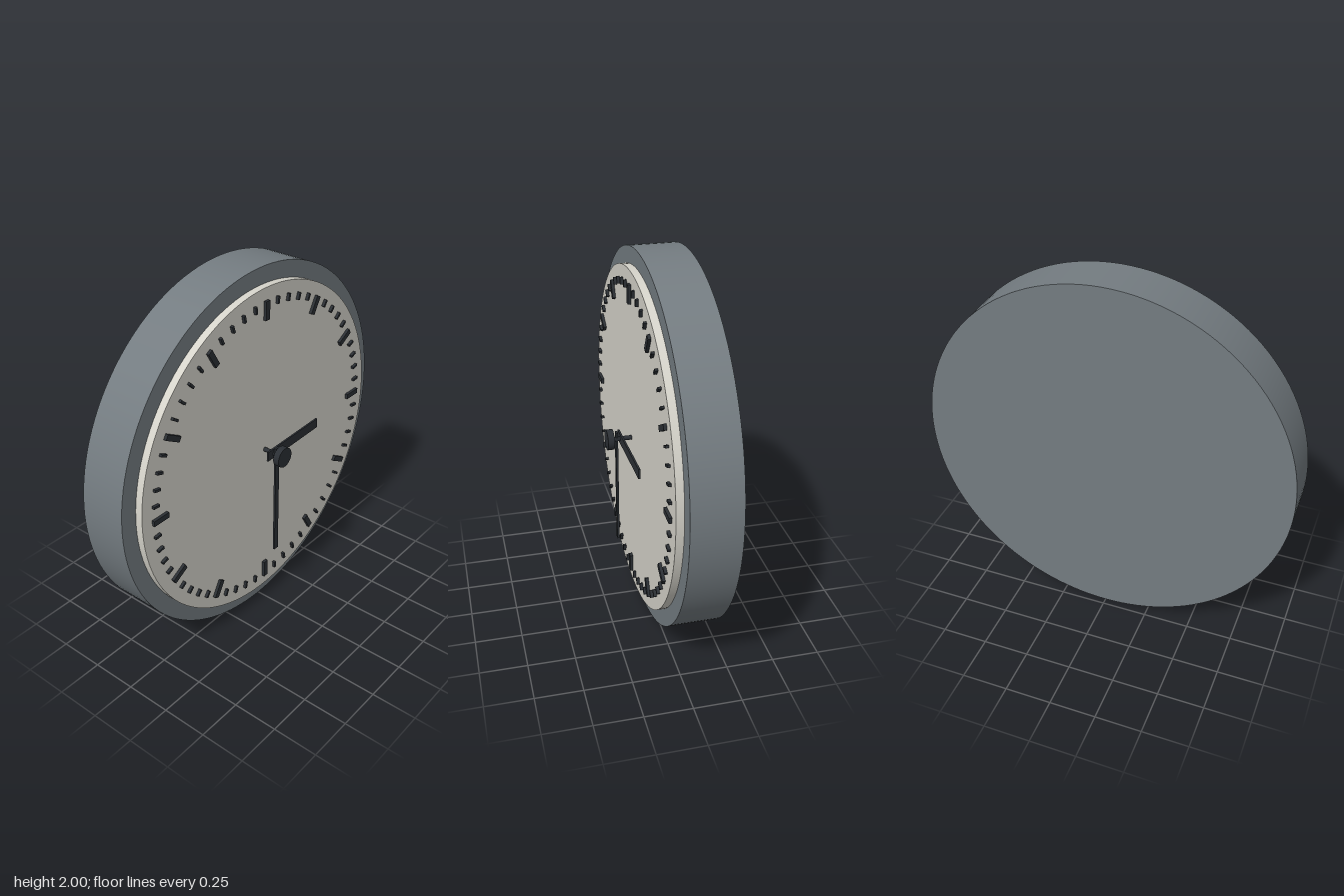
import * as THREE from 'three';

const steel = new THREE.MeshStandardMaterial({ color: 0x747c81 });
const cream = new THREE.MeshStandardMaterial({ color: 0xd6d4cb });
const dark = new THREE.MeshStandardMaterial({ color: 0x2b2f34 });

export function createModel() {
  const clock = new THREE.Group();
  clock.name = 'wallClock';

  const add = (name, geometry, material, parent = clock) => {
    const mesh = new THREE.Mesh(geometry, material);
    mesh.name = name;
    parent.add(mesh);
    return mesh;
  };

  // Disc facing +z, centred on the dial axis, between two depths
  const disc = (name, radius, z0, z1, material, sides) => {
    const geometry = new THREE.CylinderGeometry(radius, radius, z1 - z0, sides);
    geometry.rotateX(Math.PI / 2);
    add(name, geometry, material).position.set(0, 1, (z0 + z1) / 2);
  };

  // Case and raised dial
  disc('case', 1, -0.215, 0.04, steel, 128);
  disc('dial', 0.91, 0.04, 0.08, cream, 128);

  // Sixty ticks, every fifth one longer and wider
  const ticks = new THREE.Group();
  ticks.name = 'ticks';
  ticks.position.set(0, 1, 0.0875);
  clock.add(ticks);
  for (let i = 0; i < 60; i++) {
    const major = i % 5 === 0;
    const length = major ? 0.1 : 0.038;
    const geometry = new THREE.BoxGeometry(major ? 0.03 : 0.013, length, 0.017);
    geometry.translate(0, 0.845 - length / 2, 0);
    const tick = add(major ? 'hourTick' : 'minuteTick', geometry, dark, ticks);
    tick.rotation.z = -i * Math.PI / 30;
  }

  // Hour hand, leaning slightly towards the dial at its tip
  const hourHand = add('hourHand', new THREE.BoxGeometry(0.445, 0.055, 0.01), dark);
  hourHand.position.set(0.172, 1, 0.134);
  hourHand.rotation.y = 0.025;

  // Minute hand
  const minuteHand = add('minuteHand', new THREE.BoxGeometry(0.03, 0.655, 0.011), dark);
  minuteHand.position.set(0, 0.712, 0.161);

  // Spindle and centre cap
  disc('spindle', 0.012, 0.08, 0.18, dark, 16);
  disc('centreCap', 0.055, 0.18, 0.215, dark, 32);

  return clock;
}
